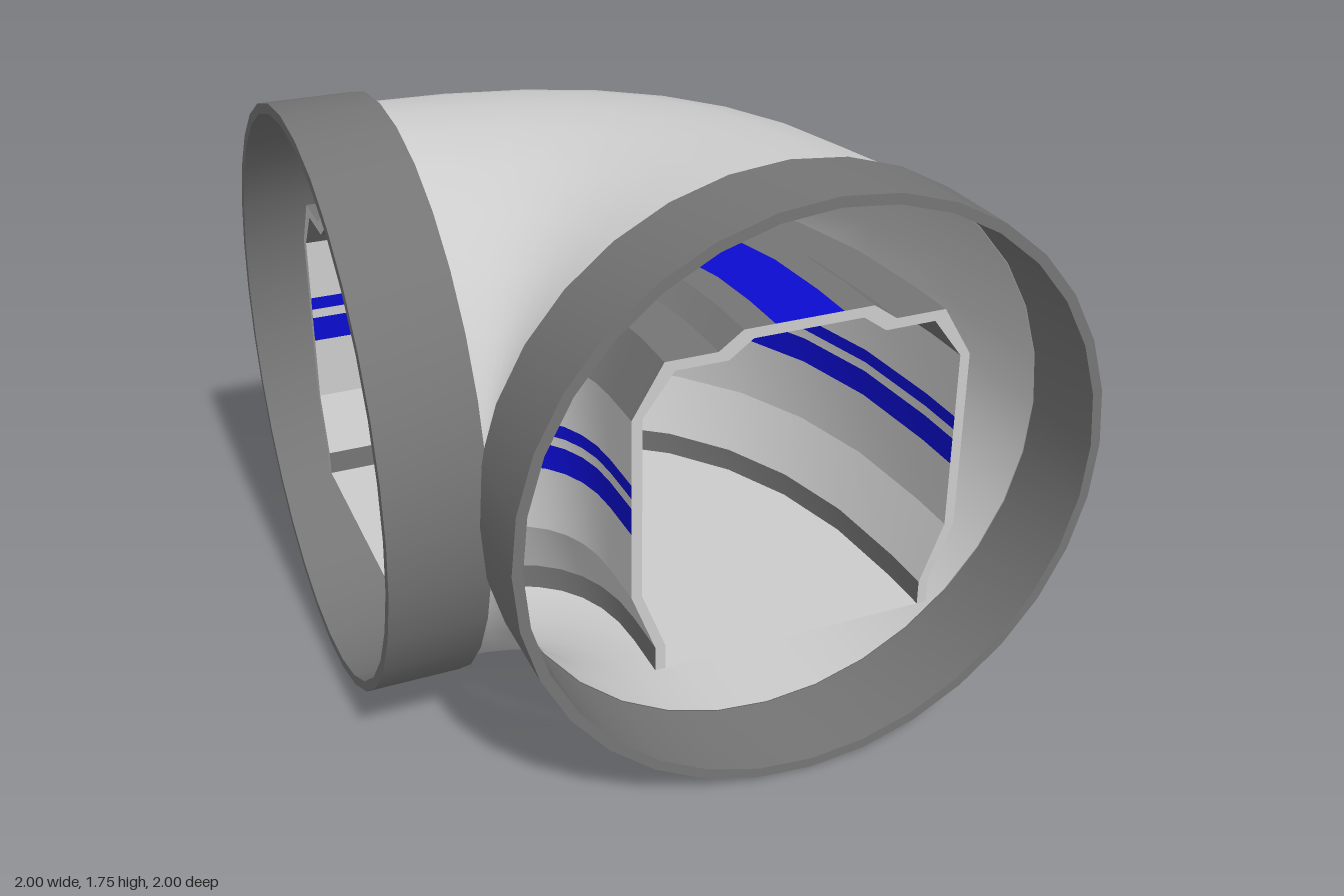
import * as THREE from 'three';
import { mergeGeometries, toCreasedNormals } from 'three/addons/utils/BufferGeometryUtils.js';

const mat = (name, color) => new THREE.MeshStandardMaterial({ name, color, side: THREE.DoubleSide });
const CORNER = 0.72;   // the bend turns about (-CORNER, CORNER) in x, z
const MID = 0.845;     // distance from there to the centre line
const CY = 0.875;      // height of the pipe axis
const END = 0.87;      // where the inner tunnel stops

// Point at distance d from the bend corner; t runs 0..1 round the bend
function bend(d, y, t) {
  return [-CORNER + d * (1 - (1 - t) ** 2), y, CORNER - d * (1 - t * t)];
}

// Sweep a profile of [d, y] points round the bend, with optional straight ends
function sweep(profile, straight = 0) {
  const rows = profile.map(([d, y]) => {
    const row = [];
    if (straight) row.push([-CORNER - straight, y, CORNER - d]);
    for (let i = 0; i <= 8; i++) row.push(bend(d, y, i / 8));
    if (straight) row.push([-CORNER + d, y, CORNER + straight]);
    return row;
  });
  const n = rows[0].length, index = [];
  for (let j = 0; j < rows.length - 1; j++) {
    for (let i = 0; i < n - 1; i++) {
      const a = j * n + i, b = a + n;
      index.push(a, a + 1, b, b, a + 1, b + 1);
    }
  }
  const g = new THREE.BufferGeometry();
  g.setAttribute('position', new THREE.Float32BufferAttribute(rows.flat(2), 3));
  g.setIndex(index);
  g.computeVertexNormals();
  return g;
}

export function createModel() {
  const group = new THREE.Group();
  const light = mat('light grey', 0xcccccc);
  const dark = mat('dark grey', 0x757575);
  const blue = mat('blue', 0x0c0cd0);
  const add = (name, geometry, material) => {
    const mesh = new THREE.Mesh(geometry, material);
    mesh.name = name;
    group.add(mesh);
    return mesh;
  };

  // Elbow pipe, seam at the tight inside corner
  const circle = [];
  for (let i = 0; i <= 32; i++) {
    const a = (i / 32) * Math.PI * 2;
    circle.push([MID - 0.842 * Math.cos(a), CY + 0.842 * Math.sin(a)]);
  }
  add('elbowPipe', sweep(circle), light);

  // Collars at both ends
  const rect = [[0.875, 0], [0.875, 0.28], [0.845, 0.28], [0.845, 0], [0.875, 0]];
  const collar = toCreasedNormals(
    new THREE.LatheGeometry(rect.map(([r, y]) => new THREE.Vector2(r, y)), 32), 0.5);
  collar.rotateX(Math.PI / 2);
  add('frontCollar', collar, dark).position.set(MID - CORNER, CY, CORNER);
  const side = add('sideCollar', collar, dark);
  side.rotation.y = -Math.PI / 2;
  side.position.set(-CORNER, CY, CORNER - MID);

  // Half profile of the tunnel shell: [half width, y, colour of the band above]
  const half = [
    [0.43, 0.375, 'skirt'], [0.43, 0.45, 'wall'], [0.5, 0.63, 'wall'],
    [0.5, 0.83, 'stripe'], [0.5, 0.91, 'wall'], [0.5, 0.94, 'stripe'],
    [0.5, 0.98, 'wall'], [0.5, 1.17, 'roof'], [0.41, 1.32, 'roof'],
    [0.26, 1.32, 'roof'], [0.19, 1.37, 'roof'], [0.1, 1.37, 'roofStripe'], [0, 1.37, ''],
  ];
  const inset = ([w, y]) => [Math.max(w - 0.03, 0), y > 1.2 ? y - 0.03 : y];

  // Tunnel bands, mirrored, as an outer and an inner skin
  const bands = { skirt: [], wall: [], stripe: [], roof: [], roofStripe: [] };
  for (let i = 0; i < half.length - 1; i++) {
    const kind = half[i][2];
    for (const s of [1, -1]) {
      const strip = (p, q) => sweep([[MID + s * p[0], p[1]], [MID + s * q[0], q[1]]], END - CORNER);
      bands[kind].push(strip(half[i], half[i + 1]));
      bands[kind === 'roofStripe' ? 'roof' : kind].push(strip(inset(half[i]), inset(half[i + 1])));
    }
  }
  const paint = { skirt: dark, wall: light, stripe: blue, roof: dark, roofStripe: blue };
  for (const kind in bands) add('tunnel_' + kind, mergeGeometries(bands[kind]), paint[kind]);

  // Tunnel floor
  add('tunnelFloor', sweep([[MID - 0.43, 0.375], [MID + 0.43, 0.375]], END - CORNER), light);

  // Light rims closing the shell at both ends
  const arch = (pts) => [...pts, ...pts.slice(0, -1).reverse().map(([w, y]) => [-w, y])];
  const outline = [...arch(half), ...arch(half.map(inset)).reverse()];
  const rim = new THREE.ShapeGeometry(
    new THREE.Shape(outline.map(([x, y]) => new THREE.Vector2(x, y))));
  add('frontTunnelRim', rim, light).position.set(MID - CORNER, 0, END);
  const sideRim = add('sideTunnelRim', rim, light);
  sideRim.rotation.y = -Math.PI / 2;
  sideRim.position.set(-END, 0, CORNER - MID);

  return group;
}
